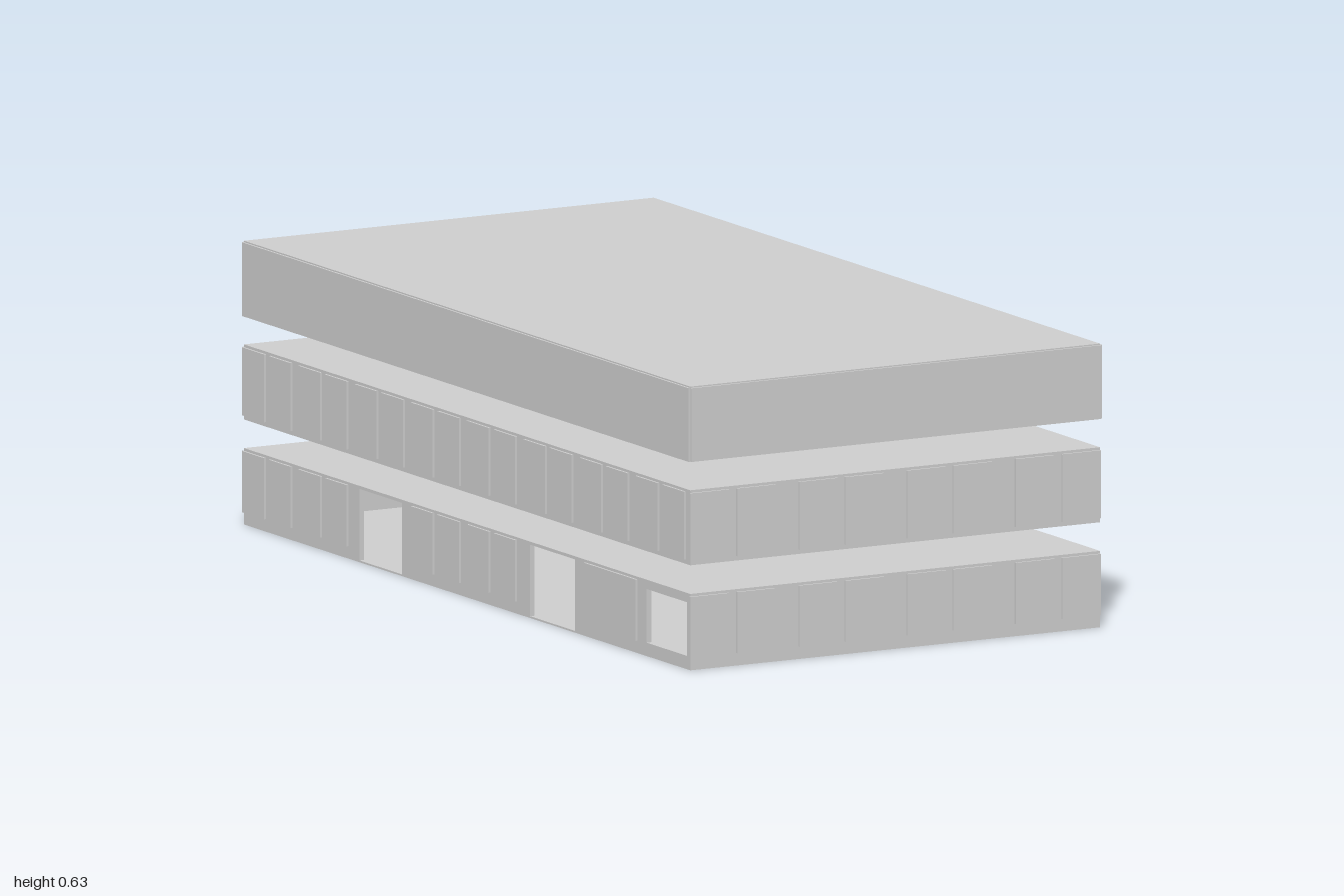
import * as THREE from 'three';

const HX = 0.518, HZ = 0.995; // half size of the wall faces
const T = 0.012;              // wall thickness
const PROUD = 0.005;          // how far cladding stands off the wall

export function createModel() {
  const concrete = new THREE.MeshStandardMaterial({ color: 0xcccccc });
  concrete.name = 'concrete';
  const model = new THREE.Group();
  model.name = 'officeBuilding';

  // box given by its limits
  const block = (parent, name, x0, x1, y0, y1, z0, z1) => {
    const m = new THREE.Mesh(new THREE.BoxGeometry(x1 - x0, y1 - y0, z1 - z0), concrete);
    m.position.set((x0 + x1) / 2, (y0 + y1) / 2, (z0 + z1) / 2);
    m.name = name;
    parent.add(m);
    return m;
  };

  // horizontal slab, optionally with the stairwell cut out
  const slab = (parent, name, y0, y1, hole) => {
    if (!hole) return block(parent, name, -HX, HX, y0, y1, -HZ, HZ);
    const rect = (P, x0, x1, a, b) => {
      const p = new P();
      p.moveTo(x0, a); p.lineTo(x1, a); p.lineTo(x1, b); p.lineTo(x0, b); p.closePath();
      return p;
    };
    const s = rect(THREE.Shape, -HX, HX, -HZ, HZ);
    s.holes.push(rect(THREE.Path, 0.31, HX - T, 0.71, HZ - T)); // shape y is -z
    const g = new THREE.ExtrudeGeometry(s, { depth: y1 - y0, bevelEnabled: false });
    g.rotateX(-Math.PI / 2);
    const m = new THREE.Mesh(g, concrete);
    m.position.y = y0;
    m.name = name;
    parent.add(m);
    return m;
  };

  // long wall along z with openings [z0, z1, bottom, top], sorted by z
  const longWall = (parent, side, y0, y1, openings) => {
    const xa = side > 0 ? HX - T : -HX, xb = xa + T;
    let z = -HZ;
    for (const [a, b, lo, hi] of openings) {
      block(parent, 'sideWall', xa, xb, y0, y1, z, a);
      block(parent, 'lintel', xa, xb, hi, y1, a, b);
      if (lo > y0) block(parent, 'sill', xa, xb, y0, lo, a, b);
      z = b;
    }
    block(parent, 'sideWall', xa, xb, y0, y1, z, HZ);
  };

  // thin window plates in pairs
  const longWindows = (parent, side, y0, y1, skip) => {
    const xa = side > 0 ? HX : -HX - PROUD;
    for (let k = 0; k < 8; k++) for (const o of [0, 0.118]) {
      const a = -HZ + 0.2505 * k + o, b = a + 0.098;
      if (skip.some(([s, e]) => b > s + 0.005 && a < e - 0.005)) continue;
      block(parent, 'sideWindow', xa, xa + PROUD, y0, y1, a, Math.min(b, HZ));
    }
  };
  const endWindows = (parent, y0, y1) => {
    for (const s of [-1, 1])
      for (const x of [-0.52, -0.402, -0.245, -0.128, 0.028, 0.145, 0.302, 0.42]) {
        const za = s > 0 ? HZ : -HZ - PROUD;
        block(parent, 'endWindow', x, x + 0.098, y0, y1, za, za + PROUD);
      }
  };

  const storey = (name, y0, y1, leftOpen, rightOpen, skipLeft, skipRight, winLo, winHi) => {
    const g = new THREE.Group();
    g.name = name;
    slab(g, 'floor', y0, y0 + 0.004, y0 > 0);
    slab(g, 'ceiling', y1 - 0.006, y1, true);
    longWall(g, 1, y0, y1, leftOpen);
    longWall(g, -1, y0, y1, rightOpen);
    for (const s of [-1, 1])
      block(g, 'endWall', -HX, HX, y0, y1, s > 0 ? HZ - T : -HZ, s > 0 ? HZ : -HZ + T);
    longWindows(g, 1, winLo, winHi, skipLeft);
    longWindows(g, -1, winLo, winHi, skipRight);
    endWindows(g, winLo, winHi);
    model.add(g);
    return g;
  };

  // ground storey with doorways and a corner window
  const door = [-0.48, -0.29, 0, 0.164];
  const door2 = [0.28, 0.48, 0, 0.164];
  const corner = [0.8, 0.98, 0.03, 0.15];
  const ground = storey('groundStorey', 0, 0.171, [door], [door, door2, corner],
    [door], [door, [0.28, 1]], 0.028, 0.165);
  block(ground, 'wideWindow', -HX - PROUD, -HX, 0.028, 0.165, 0.53, 0.76);

  // inner wall with a passage, and the entrance corridor wall
  block(ground, 'innerWall', -0.01, 0.01, 0, 0.166, -HZ, -0.43);
  block(ground, 'innerWall', -0.01, 0.01, 0, 0.166, -0.335, HZ);
  block(ground, 'innerLintel', -0.01, 0.01, 0.147, 0.166, -0.43, -0.335);
  block(ground, 'corridorWall', 0.01, HX - T, 0, 0.166, -0.29, -0.28);

  // upper storey
  storey('upperStorey', 0.235, 0.403, [], [], [], [], 0.245, 0.397);

  // roof block with fascia plates on all four sides
  const roof = new THREE.Group();
  roof.name = 'roof';
  block(roof, 'roofBlock', -HX, HX, 0.467, 0.635, -HZ, HZ);
  for (const s of [-1, 1]) {
    const x = s > 0 ? HX : -HX - PROUD, z = s > 0 ? HZ : -HZ - PROUD;
    block(roof, 'sideFascia', x, x + PROUD, 0.467, 0.632, -HZ, HZ);
    block(roof, 'endFascia', -HX, HX, 0.467, 0.632, z, z + PROUD);
  }
  model.add(roof);

  // stairwell walls carrying the floors across the open bands
  const well = new THREE.Group();
  well.name = 'stairwell';
  for (const [y0, y1] of [[0.171, 0.235], [0.403, 0.467]]) {
    block(well, 'stairwellSideWall', 0.3, 0.31, y0, y1, -HZ, -0.7);
    block(well, 'stairwellFrontWall', 0.31, HX, y0, y1, -0.71, -0.7);
  }

  // two flights of steps with a half landing
  const N = 9, rise = 0.235 / (2 * N), run = 0.024;
  for (let i = 0; i < N; i++) {
    const za = -0.98 + i * run, zb = -0.764 - i * run;
    const ya = (i + 1) * rise, yb = ya + 0.1175;
    block(well, 'lowerStep', 0.312, 0.408, Math.max(0, ya - 0.02), ya, za, za + run);
    block(well, 'upperStep', 0.41, HX - T, yb - 0.02, yb, zb - run, zb);
  }
  block(well, 'landing', 0.312, HX - T, 0.1075, 0.1175, -0.764, -0.71);
  model.add(well);

  return model;
}
